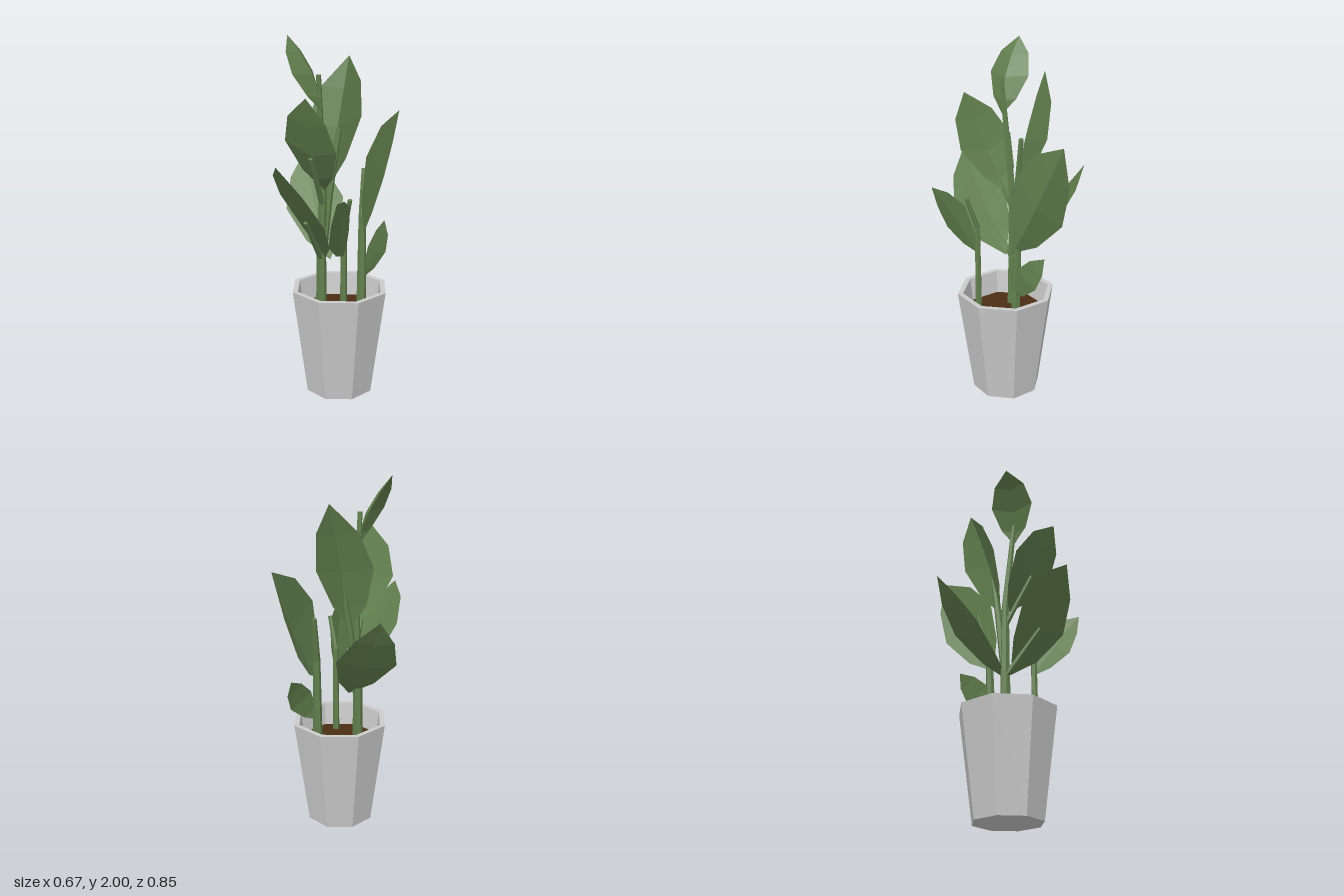
import * as THREE from 'three';

const V = (p) => new THREE.Vector3(...p);
const material = (color) =>
  new THREE.MeshStandardMaterial({ color, flatShading: true, side: THREE.DoubleSide });

// Faceted leaf: base, mid and tip lie on the midrib; left and right are the widest edge points;
// shoulder is the relative width close to the tip.
function leafGeometry(base, mid, tip, left, right, shoulder) {
  const [b, m, t] = [V(base), V(mid), V(tip)];
  const control = m.clone().multiplyScalar(2).addScaledVector(b, -0.5).addScaledVector(t, -0.5);
  const rib = new THREE.QuadraticBezierCurve3(b, control, t);
  const toLeft = V(left).sub(m);
  const toRight = V(right).sub(m);
  const rows = [[0, 0], [0.2, 0.6], [0.5, 1], [0.78, shoulder], [1, 0]].map(([s, w]) => {
    const c = rib.getPoint(s);
    return [c.clone().addScaledVector(toLeft, w), c, c.clone().addScaledVector(toRight, w)];
  });
  const points = [];
  for (let i = 0; i < rows.length - 1; i++) {
    for (let j = 0; j < 2; j++) {
      const [p, q, r, s] = [rows[i][j], rows[i][j + 1], rows[i + 1][j + 1], rows[i + 1][j]];
      // At the two pointed ends each quad shrinks to one triangle.
      if (i > 0) points.push(p, q, i === rows.length - 2 ? s : r);
      if (i < rows.length - 2) points.push(p, r, s);
    }
  }
  const geometry = new THREE.BufferGeometry().setFromPoints(points);
  geometry.computeVertexNormals();
  return geometry;
}

// Tapered six-sided stem through a list of [x, y, z, radius] joints.
function stemGroup(name, joints, mat) {
  const group = new THREE.Group();
  group.name = name;
  for (let i = 0; i < joints.length - 1; i++) {
    const a = V(joints[i].slice(0, 3));
    const b = V(joints[i + 1].slice(0, 3));
    const dir = b.clone().sub(a);
    const mesh = new THREE.Mesh(
      new THREE.CylinderGeometry(joints[i + 1][3], joints[i][3], dir.length(), 6), mat);
    mesh.name = 'stemSegment';
    mesh.position.copy(a).add(b).multiplyScalar(0.5);
    mesh.quaternion.setFromUnitVectors(new THREE.Vector3(0, 1, 0), dir.normalize());
    group.add(mesh);
  }
  return group;
}

export function createModel() {
  const model = new THREE.Group();
  model.name = 'pottedPlant';
  const green = material(0x62804e);

  // Eight-sided tapered pot with a hollow top
  const profile = [[0, 0], [0.195, 0], [0.278, 0.612], [0.248, 0.612], [0.23, 0.46]]
    .map(([r, y]) => new THREE.Vector2(r, y));
  const pot = new THREE.Mesh(new THREE.LatheGeometry(profile, 8), material(0xcccccc));
  pot.name = 'pot';
  pot.position.set(0.058, 0, 0.032);
  model.add(pot);

  // Soil
  const soil = new THREE.Mesh(new THREE.CircleGeometry(0.232, 8).rotateX(-Math.PI / 2), material(0x4c2e14));
  soil.name = 'soil';
  soil.position.set(0.058, 0.48, 0.032);
  model.add(soil);

  // Stems and leaf stalks
  const stems = {
    mainStem: [[-0.045, 0.46, 0.055, 0.03], [-0.045, 0.8, 0.05, 0.027], [-0.035, 1.2, 0.05, 0.021], [-0.03, 1.8, 0.11, 0.013]],
    backBranch: [[-0.04, 0.78, 0.05, 0.024], [-0.015, 1.15, 0.005, 0.021], [0.02, 1.5, -0.045, 0.015]],
    frontStem: [[0.14, 0.46, 0.165, 0.02], [0.14, 0.99, 0.165, 0.016], [0.19, 1.17, 0.2, 0.012]],
    rearStem: [[0.145, 0.46, -0.085, 0.028], [0.14, 1.0, -0.1, 0.021], [0.12, 1.26, -0.165, 0.012]],
    lowStalk: [[-0.045, 0.78, 0.06, 0.018], [-0.045, 1.03, 0.25, 0.012]],
    highStalk: [[-0.037, 1.08, 0.05, 0.016], [-0.035, 1.37, 0.205, 0.012]],
  };
  for (const [name, joints] of Object.entries(stems)) model.add(stemGroup(name, joints, green));

  // Leaves: base, mid, tip, left edge, right edge, shoulder
  const leaves = {
    topLeaf: [[-0.02, 1.61, 0.1], [-0.065, 1.8, 0.11], [-0.21, 2, 0.11], [-0.12, 1.81, 0.237], [-0.12, 1.81, -0.005], 0.72],
    tallBackLeaf: [[-0.02, 1.17, 0.015], [0.005, 1.5, -0.06], [0.02, 1.88, -0.185], [0.075, 1.54, -0.235], [-0.15, 1.52, 0.015], 0.72],
    largeRearLeaf: [[0.155, 0.9, -0.08], [0.21, 1.2, -0.25], [0.235, 1.56, -0.42], [0.16, 1.34, -0.1], [0.125, 1.1, -0.36], 0.7],
    smallRearLeaf: [[0.15, 0.635, -0.08], [0.2, 0.77, -0.19], [0.2, 0.93, -0.3], [0.17, 0.82, -0.12], [0.225, 0.75, -0.26], 0.7],
    smallFrontLeaf: [[0.145, 0.84, 0.165], [0.175, 1.02, 0.28], [0.21, 1.2, 0.42], [0.195, 1.13, 0.21], [0.142, 0.95, 0.37], 0.62],
    upperFrontLeaf: [[-0.02, 1.17, 0.06], [-0.03, 1.385, 0.205], [0, 1.705, 0.335], [0.14, 1.42, 0.265], [-0.205, 1.45, 0.165], 0.72],
    lowerFrontLeaf: [[-0.01, 0.79, 0.07], [-0.05, 1.035, 0.24], [-0.125, 1.36, 0.43], [0.105, 1.045, 0.345], [-0.215, 1.165, 0.215], 0.66],
    largeSideLeaf: [[0.01, 0.77, 0.05], [-0.15, 0.99, -0.11], [-0.295, 1.31, -0.265], [-0.04, 1.06, -0.245], [-0.305, 1.01, -0.035], 0.64],
  };
  for (const [name, points] of Object.entries(leaves)) {
    const leaf = new THREE.Mesh(leafGeometry(...points), green);
    leaf.name = name;
    model.add(leaf);
  }
  return model;
}
